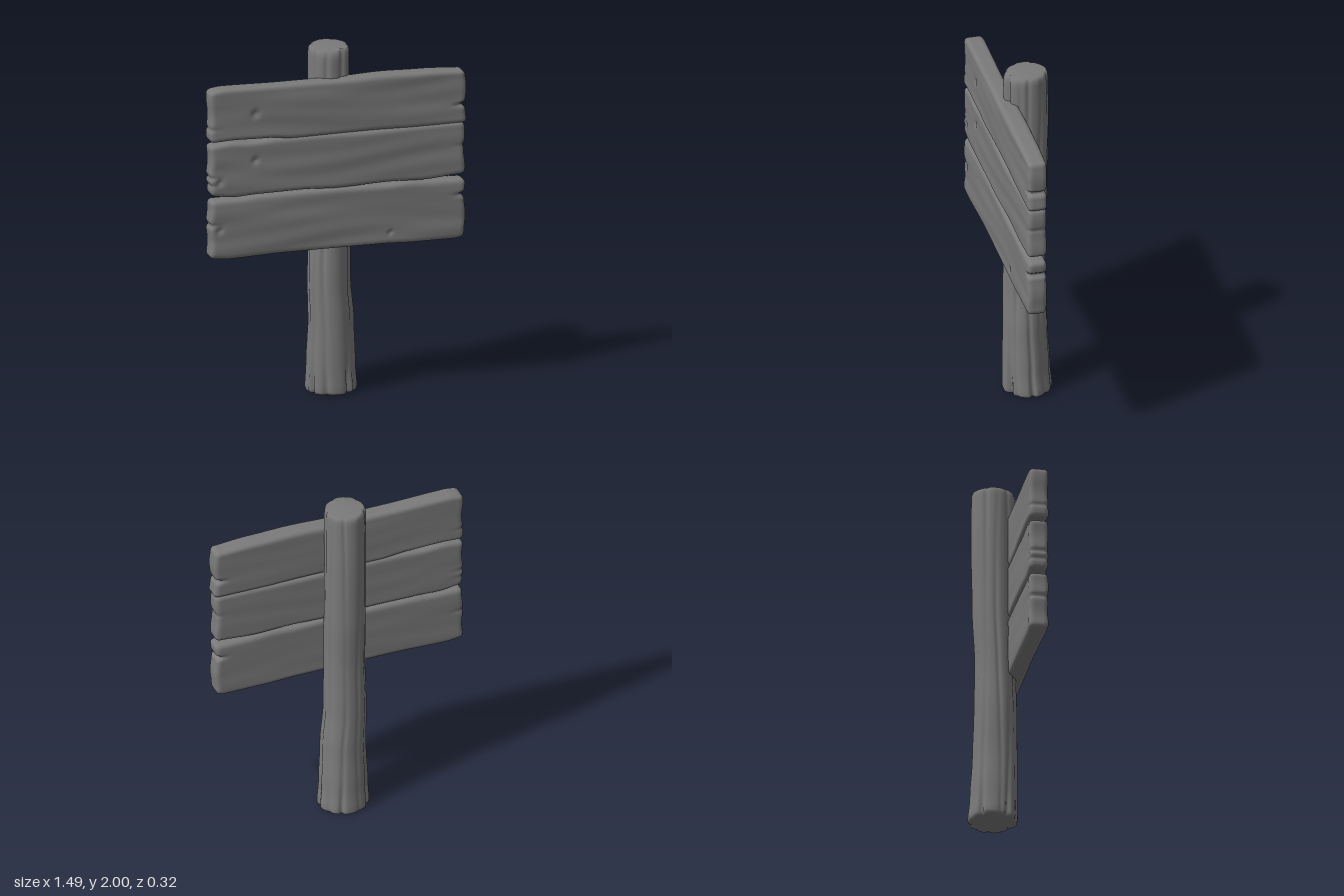
import * as THREE from 'three';
import { mergeVertices } from 'three/addons/utils/BufferGeometryUtils.js';

const material = new THREE.MeshStandardMaterial({ color: 0x7a7a7a });
const bump = (d, w) => Math.exp(-(d * d) / (w * w));

// Smooth interpolation through rows of [key, value, value...]
function sample(rows, t, column = 1) {
  let i = 1;
  while (i < rows.length - 1 && t > rows[i][0]) i++;
  const a = rows[i - 1], b = rows[i];
  const s = THREE.MathUtils.smoothstep(t, a[0], b[0]);
  return THREE.MathUtils.lerp(a[column], b[column], s);
}

// Moves every vertex by a rule, then welds and smooths the surface
function sculpt(geometry, rule) {
  const pos = geometry.attributes.position, v = new THREE.Vector3();
  for (let i = 0; i < pos.count; i++) {
    rule(v.fromBufferAttribute(pos, i));
    pos.setXYZ(i, v.x, v.y, v.z);
  }
  geometry.deleteAttribute('uv');
  geometry.deleteAttribute('normal');
  const welded = mergeVertices(geometry, 1e-4);
  welded.computeVertexNormals();
  return welded;
}

function addMesh(group, name, geometry) {
  const mesh = new THREE.Mesh(geometry, material);
  mesh.name = name;
  group.add(mesh);
}

// Post: outline rows are [y, left x, right x, back z, front z]
const postRows = [
  [0, -0.137, 0.153, -0.157, 0.119], [0.15, -0.132, 0.141, -0.145, 0.117],
  [0.4, -0.124, 0.131, -0.132, 0.115], [0.65, -0.128, 0.112, -0.127, 0.11],
  [0.95, -0.12, 0.109, -0.122, 0.102], [1.3, -0.119, 0.111, -0.137, 0.102],
  [1.7, -0.119, 0.109, -0.143, 0.106], [2, -0.119, 0.109, -0.139, 0.108],
];
// Bark grooves: [angle, depth, width, twist]
const grooves = [
  [0.5, 0.13, 0.13, 0.08], [1.0, 0.10, 0.10, -0.12], [1.5, 0.08, 0.09, 0.08],
  [2.1, 0.08, 0.10, 0.10], [2.75, 0.06, 0.09, -0.08], [3.5, 0.05, 0.08, 0.06],
  [4.1, 0.08, 0.10, 0.10], [4.75, 0.07, 0.09, -0.1], [5.25, 0.08, 0.10, 0.1],
  [5.8, 0.12, 0.13, -0.08],
];

function postGeometry() {
  const profile = [[0, 0], [0.9, 0], [0.97, 0.005], [1, 0.02]];
  for (let i = 1; i <= 56; i++) profile.push([1, 0.02 + (i / 56) * 1.94]);
  profile.push([0.985, 1.98], [0.94, 1.994], [0.86, 2], [0, 2]);
  const lathe = new THREE.LatheGeometry(profile.map(p => new THREE.Vector2(...p)), 96);
  return sculpt(lathe, v => {
    const y = v.y, angle = Math.atan2(v.x, v.z);
    let r = Math.hypot(v.x, v.z);
    const foot = 1 + 1.1 * bump(y, 0.14);
    for (const [a, depth, width, twist] of grooves) {
      const d = angle - a - twist * Math.sin(y * 2.3 + a);
      const wrapped = Math.atan2(Math.sin(d), Math.cos(d));
      const fade = 0.65 + 0.35 * Math.sin(y * 3 + a * 5);
      r *= 1 - depth * fade * foot * bump(wrapped, width);
    }
    r *= 1.01 + 0.012 * Math.sin(5 * angle + y * 2);
    const [x0, x1, z0, z1] = [1, 2, 3, 4].map(c => sample(postRows, y, c));
    v.x = (x0 + x1) / 2 + r * Math.sin(angle) * (x1 - x0) / 2;
    v.z = (z0 + z1) / 2 + r * Math.cos(angle) * (z1 - z0) / 2;
    // Worn front rim of the top
    if (y > 1.96) v.y -= 0.08 * Math.max(0, r - 0.8) * Math.max(0, Math.cos(angle));
  });
}

// Planks: wavy top and bottom edges [x, y], end splits [side, y, depth], dents [x, y, radius]
const planks = [
  {
    name: 'topPlank', left: -0.743, right: 0.745,
    top: [[-0.74, 1.838], [-0.66, 1.846], [-0.3, 1.84], [0, 1.839], [0.27, 1.847], [0.5, 1.841], [0.74, 1.829]],
    bottom: [[-0.74, 1.54], [-0.6, 1.545], [-0.4, 1.54], [-0.25, 1.526], [0.2, 1.529], [0.45, 1.525], [0.74, 1.527]],
    splits: [[1, 1.635, 0.03], [-1, 1.615, 0.008]],
    dents: [[-0.48, 1.69, 0.022]], seed: 0.4,
  },
  {
    name: 'middlePlank', left: -0.743, right: 0.737,
    top: [[-0.74, 1.522], [-0.62, 1.533], [-0.5, 1.526], [-0.35, 1.533], [-0.1, 1.533], [0.2, 1.53], [0.45, 1.532], [0.74, 1.531]],
    bottom: [[-0.74, 1.23], [-0.6, 1.214], [-0.45, 1.22], [-0.2, 1.223], [0, 1.214], [0.3, 1.221], [0.5, 1.215], [0.74, 1.23]],
    splits: [[-1, 1.335, 0.01], [1, 1.4, 0.006], [-1, 1.29, 0.008]],
    dents: [[-0.48, 1.42, 0.018], [-0.685, 1.31, 0.018]], seed: 2.1,
  },
  {
    name: 'bottomPlank', left: -0.743, right: 0.739,
    top: [[-0.74, 1.202], [-0.57, 1.203], [-0.45, 1.21], [-0.2, 1.214], [0, 1.214], [0.28, 1.208], [0.4, 1.214], [0.56, 1.204], [0.74, 1.2]],
    bottom: [[-0.74, 0.868], [-0.64, 0.858], [-0.3, 0.866], [0, 0.866], [0.25, 0.865], [0.45, 0.858], [0.68, 0.857], [0.74, 0.866]],
    splits: [[1, 1.115, 0.028], [-1, 1.06, 0.012]],
    dents: [[-0.685, 1.03, 0.018], [0.3, 0.93, 0.012]], seed: 4.3,
  },
];

function plankGeometry({ left, right, top, bottom, splits, dents, seed }) {
  const half = new THREE.Vector3((right - left) / 2, 0.16, 0.054), radius = 0.026;
  const box = new THREE.BoxGeometry(half.x * 2, half.y * 2, half.z * 2, 130, 36, 12);
  const core = half.clone().subScalar(radius), low = core.clone().negate(), inner = new THREE.Vector3();
  return sculpt(box, v => {
    // Rounded edges
    inner.copy(v).clamp(low, core);
    v.sub(inner).setLength(radius).add(inner);
    const front = THREE.MathUtils.clamp(v.z / half.z, -1, 1);
    // Wavy long edges
    v.x += (left + right) / 2;
    const y0 = sample(bottom, v.x), y1 = sample(top, v.x);
    v.y = y0 + (v.y / half.y + 1) / 2 * (y1 - y0);
    v.z += 0.101;
    // Weathered grain, stronger on the front
    const grain = 0.002 * Math.sin(v.x * 5 + seed + 2 * Math.sin(v.y * 19 + seed))
      + 0.001 * Math.sin(v.y * 55 + 2 * Math.sin(v.x * 4 + seed));
    v.z += grain * (front > 0 ? front : front * 0.4);
    // Split ends
    const end = v.x < 0 ? -1 : 1;
    const reach = Math.abs(v.x) - 0.74;
    v.x -= end * 0.004 * (1 + Math.sin(v.y * 31 + seed + end)) * bump(reach, 0.05);
    for (const [side, y, depth] of splits) {
      if (side !== end) continue;
      const cut = bump(v.y - y, 0.012) * depth;
      v.z -= front * cut * 0.4 * bump(reach, 0.06);
      v.x -= side * cut * bump(reach, 0.05);
    }
    // Knot holes and dents on the front
    if (front > 0.5) for (const [x, y, r] of dents) v.z -= 0.012 * bump(Math.hypot(v.x - x, v.y - y), r);
  });
}

export function createModel() {
  const group = new THREE.Group();
  group.name = 'woodenSign';
  addMesh(group, 'post', postGeometry());
  for (const plank of planks) addMesh(group, plank.name, plankGeometry(plank));
  return group;
}
